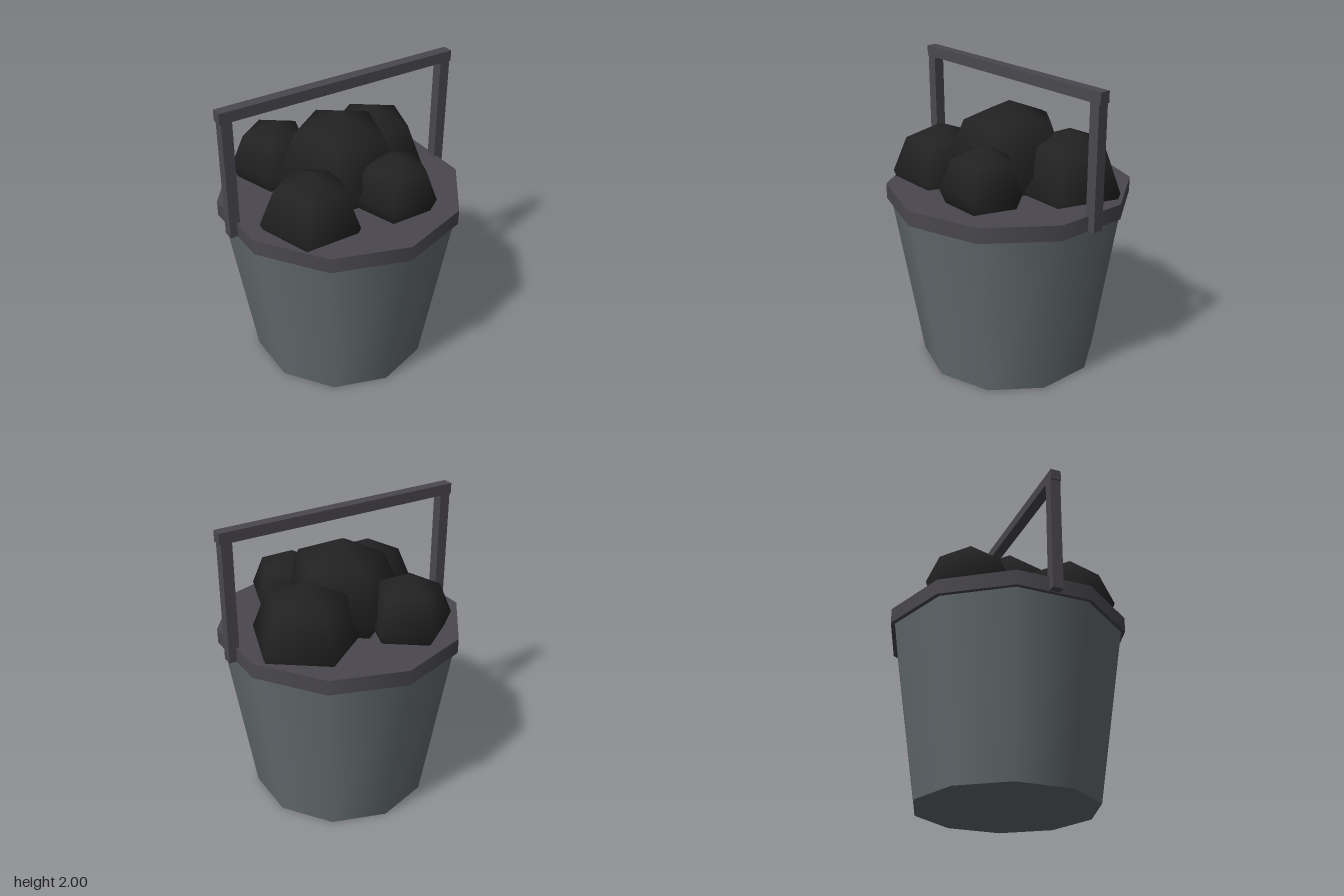
import * as THREE from 'three';

export function createModel() {
  const group = new THREE.Group();
  const material = (name, color) => {
    const m = new THREE.MeshStandardMaterial({ color });
    m.name = name;
    return m;
  };
  const steel = material('bucket grey', 0x656d70);
  const iron = material('dark iron', 0x4a484e);
  const black = material('coal black', 0x222222);

  const add = (name, geometry, mat, x, y, z) => {
    const mesh = new THREE.Mesh(geometry, mat);
    mesh.name = name;
    mesh.position.set(x, y, z);
    group.add(mesh);
    return mesh;
  };

  // Ten-sided tapered bucket with a filled rim
  add('bucket', new THREE.CylinderGeometry(0.78, 0.595, 1.19, 10), steel, 0, 0.595, 0);
  add('rim', new THREE.CylinderGeometry(0.8, 0.8, 0.1, 10), iron, 0, 1.19, 0);

  // Square handle: two uprights and a crossbar
  for (const [name, side] of [['leftHandlePost', 1], ['rightHandlePost', -1]]) {
    add(name, new THREE.BoxGeometry(0.07, 0.79, 0.07), iron, side * 0.775, 1.54, 0);
  }
  add('handleBar', new THREE.BoxGeometry(1.64, 0.07, 0.07), iron, 0, 1.965, 0);

  // Low-poly coal lumps: radius, x, y, z
  const lumps = [
    [0.41, 0, 1.37, 0],
    [0.32, -0.37, 1.28, 0.27],
    [0.365, 0.36, 1.28, -0.185],
    [0.272, 0.18, 1.33, 0.36],
    [0.29, -0.27, 1.33, -0.37],
  ];
  lumps.forEach(([r, x, y, z], i) => {
    const lump = add(`coalLump${i + 1}`, new THREE.SphereGeometry(r, 5, 4), black, x, y, z);
    lump.rotation.y = -Math.PI / 2;
  });

  return group;
}
